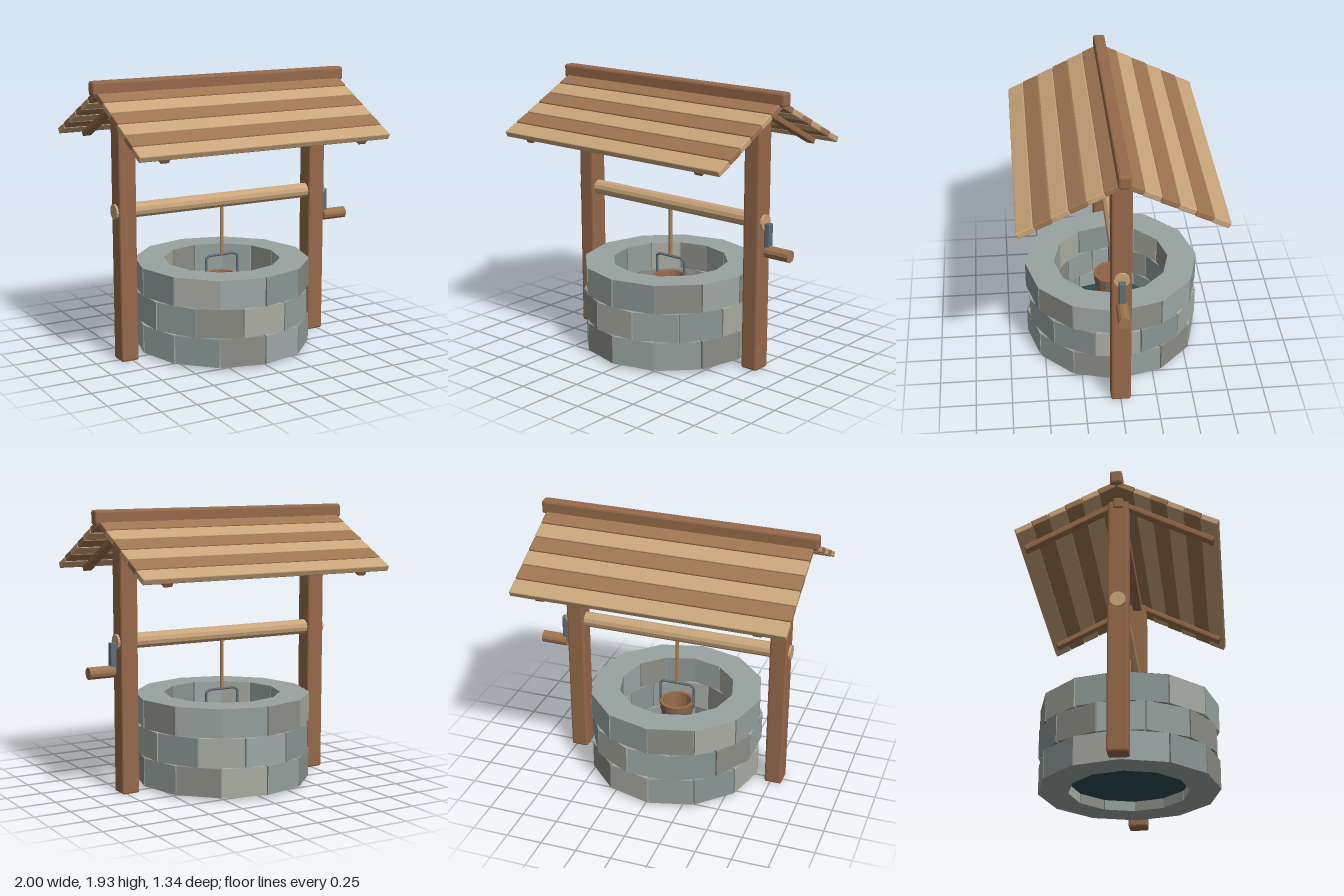
import * as THREE from 'three';
import { RoundedBoxGeometry } from 'three/addons/geometries/RoundedBoxGeometry.js';

const CX = -0.025; // the well's axis; the crank makes the right end longer

const mat = (color, side = THREE.FrontSide) => {
  const m = new THREE.MeshStandardMaterial({ flatShading: true, side });
  m.color.set(color);
  return m;
};
const wood = mat(0x96694a), lightWood = mat(0xc9a57a), darkWood = mat(0x9e7550);
const metal = mat(0x5f6e78), ropeMat = mat(0xa98358), mortarMat = mat(0x98a39f, THREE.DoubleSide);
const bucketMat = mat(0x96694a, THREE.DoubleSide), water = mat(0x2b4a52);
const stones = [0x949f9b, 0xa9aca2, 0x8a9694, 0x9da8a5, 0x8d8d86].map((c) => mat(c));

function add(parent, name, geometry, material, x = 0, y = 0, z = 0) {
  const mesh = new THREE.Mesh(geometry, material);
  mesh.name = name;
  mesh.position.set(x, y, z);
  parent.add(mesh);
  return mesh;
}

// Timber with a narrow chamfer on every edge
const timber = (w, h, d, bevel = 0.01) => new RoundedBoxGeometry(w, h, d, 1, bevel);

// Extrudes a plan shape upwards
const upright = (shape, height) =>
  new THREE.ExtrudeGeometry(shape, { depth: height, bevelEnabled: false }).rotateX(-Math.PI / 2);

const polar = (r, a) => new THREE.Vector2(r * Math.cos(a), r * Math.sin(a));
const ringPoints = (r, n) => Array.from({ length: n }, (_, i) => polar(r, (i / n) * Math.PI * 2));

// Three staggered courses of twelve wedge-shaped stones
function createWall() {
  const wall = new THREE.Group();
  wall.name = 'stoneWall';
  const n = 12, outer = 0.615, inner = 0.41, step = (Math.PI * 2) / n;
  for (let row = 0; row < 3; row++) {
    for (let i = 0; i < n; i++) {
      const a = (i + (row % 2) * 0.5) * step, gap = 0.008;
      const wedge = new THREE.Shape([
        polar(inner, a + gap), polar(outer, a + gap),
        polar(outer, a + step - gap), polar(inner, a + step - gap),
      ]);
      const tone = stones[(i * 3 + row * 2 + ((i * i) % 4)) % stones.length];
      add(wall, 'stone', upright(wedge, 0.198), tone, 0, 0.021 + row * 0.203, 0);
    }
  }
  // Mortar core behind the joints, with thin rims closing top and bottom
  const core = new THREE.Shape(ringPoints(0.582, 24));
  core.holes.push(new THREE.Path(ringPoints(0.425, 24)));
  add(wall, 'mortar', upright(core, 0.6), mortarMat, 0, 0.023, 0);
  const rim = new THREE.RingGeometry(inner, outer, n).rotateX(-Math.PI / 2);
  add(wall, 'topRim', rim, mortarMat, 0, 0.627, 0);
  add(wall, 'bottomRim', rim, mortarMat, 0, 0.02, 0);
  add(wall, 'water', new THREE.CylinderGeometry(0.415, 0.415, 0.02, 24), water, 0, 0.1, 0);
  return wall;
}

// Open bucket with hoops and a bent wire handle
function createBucket() {
  const bucket = new THREE.Group();
  bucket.name = 'bucket';
  const profile = [[0, 0.28], [0.095, 0.28], [0.125, 0.505], [0.102, 0.505], [0.08, 0.31], [0, 0.31]];
  add(bucket, 'pail', new THREE.LatheGeometry(profile.map((p) => new THREE.Vector2(...p)), 16), bucketMat);
  for (const [y, r] of [[0.33, 0.102], [0.455, 0.119]]) {
    add(bucket, 'hoop', new THREE.CylinderGeometry(r + 0.005, r + 0.002, 0.022, 16, 1, true), metal, 0, y, 0);
  }
  const bail = [[-0.125, 0.46], [-0.125, 0.63], [-0.1, 0.648], [0.1, 0.648], [0.125, 0.63], [0.125, 0.46]];
  const path = new THREE.CurvePath();
  for (let i = 1; i < bail.length; i++) {
    path.add(new THREE.LineCurve3(new THREE.Vector3(...bail[i - 1], 0), new THREE.Vector3(...bail[i], 0)));
  }
  add(bucket, 'handle', new THREE.TubeGeometry(path, 60, 0.009, 6), metal);
  return bucket;
}

// One roof slope facing +z: six boards on two rafters
function createSlope() {
  const slope = new THREE.Group();
  const pitch = 0.1225, length = 6 * pitch;
  for (let i = 0; i < 6; i++) {
    const board = add(slope, 'roofBoard', timber(1.88, 0.042, pitch - 0.003, 0.006),
      i % 2 ? lightWood : darkWood, 0, -0.023, (i + 0.5) * pitch);
    board.rotation.x = -0.03;
  }
  for (const x of [-0.745, 0.745]) {
    add(slope, 'rafter', timber(0.065, 0.04, length - 0.03, 0.008), wood, x, -0.062, length / 2 - 0.005);
  }
  slope.position.set(0, 1.86, 0.02);
  slope.rotation.x = THREE.MathUtils.degToRad(27);
  return slope;
}

function createRoof() {
  const roof = new THREE.Group();
  roof.name = 'roof';
  for (const turn of [0, Math.PI]) {
    const half = new THREE.Group();
    half.name = turn ? 'backSlope' : 'frontSlope';
    half.rotation.y = turn;
    half.add(createSlope());
    roof.add(half);
  }
  add(roof, 'ridgeCap', timber(1.945, 0.095, 0.082, 0.016), wood, 0, 1.878, 0);
  add(roof, 'ridgeBeam', timber(1.64, 0.075, 0.068), wood, 0, 1.773, 0);
  return roof;
}

// Axle log, with the crank on the +x end
function createWindlass() {
  const windlass = new THREE.Group();
  windlass.name = 'windlass';
  const log = (r, l) => new THREE.CylinderGeometry(r, r, l, 12).rotateZ(Math.PI / 2);
  add(windlass, 'axle', log(0.053, 1.65), lightWood, 0, 1.043, 0);
  add(windlass, 'crankArm', timber(0.042, 0.19, 0.046, 0.006), metal, 0.845, 0.945, 0);
  add(windlass, 'crankGrip', log(0.042, 0.188), darkWood, 0.931, 0.845, 0);
  add(windlass, 'rope', new THREE.CylinderGeometry(0.013, 0.013, 0.36, 8), ropeMat, 0, 0.83, 0);
  return windlass;
}

export function createModel() {
  const model = new THREE.Group();
  model.name = 'well';
  const body = new THREE.Group();
  body.name = 'wellBody';
  body.position.x = CX;
  for (const x of [-0.747, 0.747]) {
    add(body, x < 0 ? 'rightPost' : 'leftPost', timber(0.125, 1.79, 0.137, 0.014), wood, x, 0.895, 0);
  }
  body.add(createWall(), createBucket(), createWindlass(), createRoof());
  model.add(body);
  return model;
}
